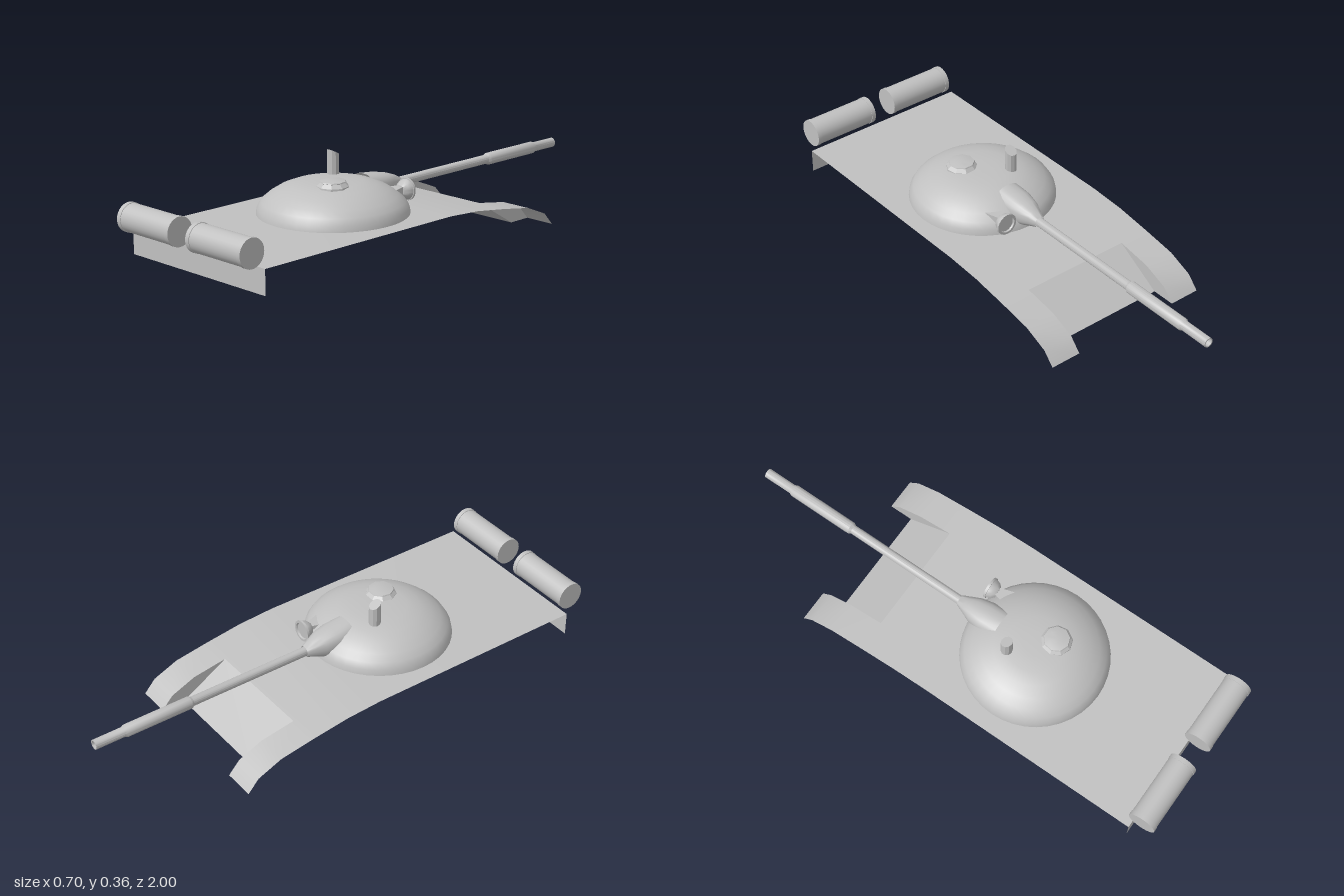
import * as THREE from 'three';
import { toCreasedNormals } from 'three/addons/utils/BufferGeometryUtils.js';

export function createModel() {
  const model = new THREE.Group();
  const grey = new THREE.MeshStandardMaterial({ color: 0xc0c0c0, side: THREE.DoubleSide });
  grey.name = 'plainGrey';

  function add(name, geometry, parent = model, crease = 0.6) {
    const mesh = new THREE.Mesh(toCreasedNormals(geometry, crease), grey);
    mesh.name = name;
    parent.add(mesh);
    return mesh;
  }

  // Surface through rows of points, each row having the same count
  function loft(rows) {
    const n = rows[0].length, index = [];
    for (let i = 0; i < rows.length - 1; i++) {
      for (let j = 0; j < n - 1; j++) {
        const a = i * n + j, b = a + n;
        index.push(a, a + 1, b, b, a + 1, b + 1);
      }
    }
    const g = new THREE.BufferGeometry();
    g.setAttribute('position', new THREE.Float32BufferAttribute(rows.flat(2), 3));
    g.setIndex(index);
    g.computeVertexNormals();
    return g;
  }

  // Thin sheet following a [z, y] profile between two x positions
  const sheet = (profile, x0, x1) => loft(profile.map(([z, y]) => [[x0, y, z], [x1, y, z]]));
  const lathe = (points, sides) =>
    new THREE.LatheGeometry(points.map(([r, y]) => new THREE.Vector2(r, y)), sides);

  // Hull shell: deck, sloping nose, rear plate and curved mudguards
  const hull = new THREE.Group();
  hull.name = 'hull';
  model.add(hull);
  const nose = [[-0.3, 0.115], [-0.49, 0]];
  const guard = [[-0.3, 0.115], [-0.44, 0.092], [-0.54, 0.05], [-0.585, 0]];
  add('deck', sheet([[0.91, 0.145], [0, 0.145], [-0.15, 0.136], [-0.3, 0.115]], -0.35, 0.35), hull);
  add('nosePlate', sheet(nose, -0.225, 0.225), hull);
  add('rearPlate', sheet([[0.91, 0.05], [0.91, 0.145]], -0.35, 0.35), hull);
  for (const s of [-1, 1]) {
    add('mudguard', sheet(guard, s < 0 ? -0.35 : 0.225, s < 0 ? -0.225 : 0.35), hull);
    const side = new THREE.Shape([...guard, nose[1]].map(([z, y]) => new THREE.Vector2(-z, y)));
    const wall = add('mudguardInnerWall', new THREE.ShapeGeometry(side), hull);
    wall.rotation.y = Math.PI / 2;
    wall.position.x = s * 0.225;
  }

  // Fuel drums across the rear, with raised rims
  for (const s of [-1, 1]) {
    const drum = add('fuelDrum', lathe([
      [0, -0.139], [0.055, -0.139], [0.055, -0.121], [0.053, -0.121],
      [0.053, 0.121], [0.055, 0.121], [0.055, 0.139], [0, 0.139]], 28));
    drum.rotation.z = -Math.PI / 2;
    drum.position.set(s * 0.186, 0.201, 0.945);
  }

  // Domed turret
  const turret = new THREE.Group();
  turret.name = 'turret';
  model.add(turret);
  add('turretDome', lathe([
    [0.285, 0.146], [0.281, 0.168], [0.266, 0.192], [0.24, 0.214], [0.205, 0.236],
    [0.16, 0.254], [0.11, 0.264], [0.05, 0.266], [0, 0.267]], 40), turret, 0.8)
    .position.z = 0.255;

  // Gun mantlet: rounded sections [z, bottom, top, half width]
  const sections = [[0.1, 0.15, 0.264, 0.06], [0.03, 0.15, 0.256, 0.06], [-0.02, 0.155, 0.246, 0.05],
    [-0.06, 0.168, 0.232, 0.033], [-0.09, 0.177, 0.217, 0.021]];
  add('mantlet', loft(sections.map(([z, low, top, w]) => {
    const row = [];
    for (let i = 0; i <= 20; i++) {
      const a = -i / 20 * Math.PI * 2;
      const c = Math.cos(a), s = Math.sin(a);
      row.push([w * Math.sign(c) * Math.abs(c) ** 0.8,
        (low + top) / 2 + (top - low) / 2 * Math.sign(s) * Math.abs(s) ** 0.8, z]);
    }
    return row;
  })), turret, 0.9);

  // Gun barrel with a thicker sleeve and a hollow muzzle
  const barrel = add('gunBarrel', lathe([
    [0.018, 0], [0.018, 0.59], [0.024, 0.6], [0.024, 0.87], [0.019, 0.88],
    [0.019, 1], [0.015, 1], [0.015, 0.95], [0, 0.95]], 18), turret);
  barrel.rotation.x = -Math.PI / 2;
  barrel.position.y = 0.197;

  // Commander's cupola and hatch
  add('cupola', lathe([
    [0.062, 0.25], [0.06, 0.266], [0.046, 0.279], [0.051, 0.281],
    [0.049, 0.285], [0.028, 0.289], [0, 0.29]], 9), turret, 0.4)
    .position.set(0.056, 0, 0.31);

  // Periscope tube with a slanted top
  const tube = new THREE.CylinderGeometry(0.023, 0.023, 0.11, 10);
  const p = tube.attributes.position;
  for (let i = 0; i < p.count; i++) {
    if (p.getY(i) > 0) p.setY(i, 0.042 + p.getZ(i) * 0.55);
  }
  tube.computeVertexNormals();
  add('periscope', tube, turret).position.set(-0.079, 0.305, 0.178);

  // Searchlight facing along the gun, with its bracket
  const light = add('searchlight', lathe([
    [0, -0.04], [0.02, -0.038], [0.034, -0.024], [0.04, -0.006], [0.043, -0.006],
    [0.043, 0.003], [0.034, 0.003], [0.032, -0.004], [0, -0.004]], 18), turret);
  light.rotation.x = -Math.PI / 2;
  light.position.set(0.106, 0.2, -0.026);
  const arm = new THREE.Shape([[0.09, 0.005], [0.12, 0.005], [0.14, 0.07], [0.08, 0.04]]
    .map(([x, z]) => new THREE.Vector2(x, z)));
  const bracket = add('searchlightBracket',
    new THREE.ExtrudeGeometry(arm, { depth: 0.03, bevelEnabled: false }), turret);
  bracket.rotation.x = Math.PI / 2;
  bracket.position.y = 0.217;

  return model;
}
